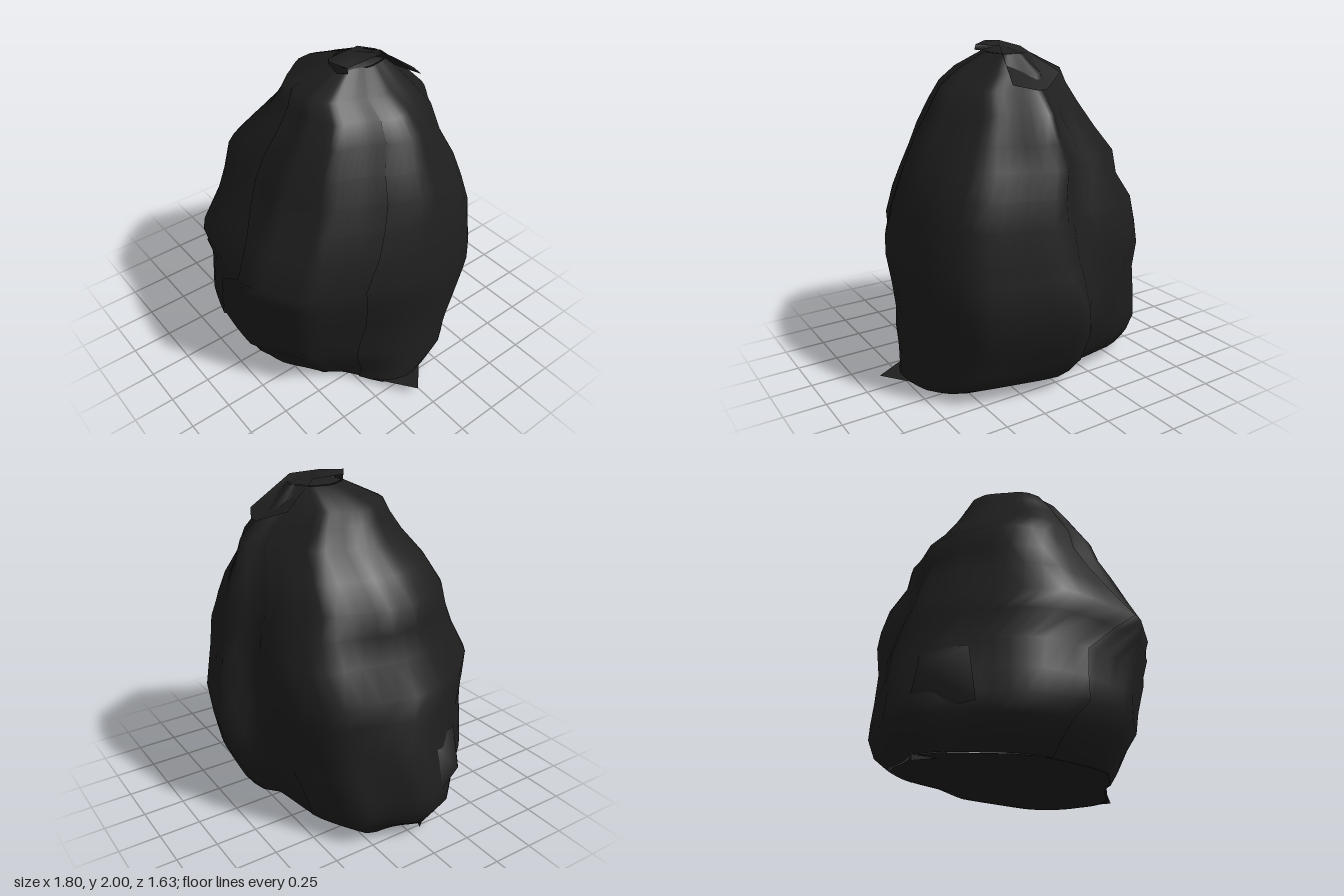
import * as THREE from 'three';

// Cross-sections: y, min x, max x, min z, max z, then the diagonal bulge
// of the four quadrants (+x+z, -x+z, -x-z, +x-z)
const RINGS = [
  [0.03, -0.76, 0.77, -0.45, 0.58, -0.18, 0.00, 0.16, 0.04],
  [0.10, -0.83, 0.78, -0.60, 0.64, -0.14, 0.00, 0.08, 0.02],
  [0.20, -0.90, 0.78, -0.67, 0.71, -0.10, -0.02, 0.02, 0.00],
  [0.30, -0.89, 0.78, -0.72, 0.77, -0.07, -0.03, 0.00, 0.00],
  [0.43, -0.87, 0.78, -0.78, 0.77, -0.04, -0.02, -0.03, 0.00],
  [0.60, -0.83, 0.80, -0.81, 0.77, 0.00, 0.00, -0.02, 0.00],
  [0.77, -0.79, 0.82, -0.78, 0.79, 0.00, 0.03, 0.09, 0.00],
  [0.88, -0.75, 0.81, -0.76, 0.81, 0.00, 0.05, 0.13, 0.00],
  [1.07, -0.66, 0.78, -0.73, 0.70, 0.00, 0.09, 0.16, 0.00],
  [1.22, -0.60, 0.74, -0.70, 0.62, -0.01, 0.14, 0.08, -0.03],
  [1.36, -0.59, 0.70, -0.67, 0.55, -0.02, 0.18, 0.04, -0.07],
  [1.50, -0.47, 0.63, -0.62, 0.50, -0.03, 0.15, 0.00, -0.13],
  [1.65, -0.36, 0.55, -0.57, 0.40, -0.02, 0.09, -0.08, -0.15],
  [1.76, -0.30, 0.48, -0.46, 0.33, -0.02, 0.06, -0.08, -0.14],
  [1.84, -0.26, 0.36, -0.38, 0.28, 0.00, 0.03, -0.04, -0.08],
  [1.94, -0.02, 0.21, -0.25, 0.07, 0.00, 0.00, 0.00, 0.00],
];

// Irregular plan outline, normalised to the ring extents
const OUTLINE = [
  [1, -0.1], [0.94, 0.18], [0.82, 0.42], [0.67, 0.79], [0.27, 1], [-0.15, 0.95], [-0.43, 0.87],
  [-0.58, 0.75], [-0.93, 0.27], [-1, 0], [-0.85, -0.31], [-0.79, -0.5], [-0.49, -0.7], [-0.12, -0.83],
  [0.02, -1], [0.21, -0.96], [0.7, -0.79], [0.79, -0.7], [0.91, -0.49],
];

// Seam positions: height, angle in degrees (0 = +x, 90 = front)
const FRONT_SEAM = [[0.03, 109], [0.3, 98], [0.6, 100], [0.64, 99], [0.88, 79], [1.07, 86], [1.15, 92], [1.36, 95], [1.93, 100]];
const SIDE_SEAM = [[0.03, 25], [0.8, 24], [1.1, 20], [1.4, 18], [1.93, 14]];
const BACK_SEAM = [[0.03, 234], [0.6, 238], [1.0, 250], [1.36, 247], [1.93, 255]];

function lerpTable(table, key) {
  for (let i = 1; i < table.length; i++) {
    const [k0, v0] = table[i - 1], [k1, v1] = table[i];
    if (key <= k1) return v0 + (v1 - v0) * Math.max(0, (key - k0) / (k1 - k0));
  }
  return table[table.length - 1][1];
}

// Distance from the centre to the outline in direction a
function outlineRadius(a) {
  const c = Math.cos(a), s = Math.sin(a);
  for (let i = 0; i < OUTLINE.length; i++) {
    const [px, py] = OUTLINE[i], [qx, qy] = OUTLINE[(i + 1) % OUTLINE.length];
    if (px * s - py * c >= -1e-9 && c * qy - s * qx >= -1e-9) {
      return (px * qy - py * qx) / (c * (qy - py) - s * (qx - px));
    }
  }
  return 1;
}

// Point on the slumped skin for one ring and angle
function skinPoint(ring, degrees, offset = 0) {
  const [y, x0, x1, z0, z1, ...bulges] = ring;
  const a = THREE.MathUtils.degToRad(degrees);
  const quadrant = Math.floor((((degrees % 360) + 360) % 360) / 90);
  const bulge = bulges[quadrant] * Math.sin(2 * a) ** 2;
  const gather = 0.015 * Math.sin(a * 7 + 1) * THREE.MathUtils.smoothstep(y, 1.2, 1.75);
  const r = outlineRadius(a) * (1 + gather + bulge);
  return [
    (x0 + x1) / 2 + ((x1 - x0) / 2 * r + offset) * Math.cos(a), y,
    (z0 + z1) / 2 + ((z1 - z0) / 2 * r + offset) * Math.sin(a),
  ];
}

function meshFrom(name, points, index, material) {
  const g = new THREE.BufferGeometry();
  g.setAttribute('position', new THREE.Float32BufferAttribute(points.flat(), 3));
  g.setIndex(index);
  g.computeVertexNormals();
  const mesh = new THREE.Mesh(g, material);
  mesh.name = name;
  return mesh;
}

// Skin panel lofted between two seams
function panel(name, from, to, offset, material) {
  const n = 22, pts = [], idx = [];
  RINGS.forEach((ring, j) => {
    const a0 = from(ring[0]), a1 = to(ring[0]);
    for (let i = 0; i <= n; i++) {
      pts.push(skinPoint(ring, a0 + (a1 - a0) * i / n, offset));
      if (j && i) {
        const d = j * (n + 1) + i, c = d - 1, b = d - n - 1, a = b - 1;
        idx.push(a, c, b, b, c, d);
      }
    }
  });
  return meshFrom(name, pts, idx, material);
}

// Cap joining one ring to a centre point
function cap(name, ring, centre, up, material) {
  const n = 40, pts = [centre], idx = [];
  for (let i = 0; i < n; i++) {
    pts.push(skinPoint(ring, i * 360 / n));
    const a = i + 1, b = (i + 1) % n + 1;
    idx.push(0, ...(up ? [b, a] : [a, b]));
  }
  return meshFrom(name, pts, idx, material);
}

// Loose flap made as a fan from its first point
function flap(name, pts, material) {
  const idx = [];
  for (let i = 1; i < pts.length - 1; i++) idx.push(0, i, i + 1);
  return meshFrom(name, pts, idx, material);
}

export function createModel() {
  const group = new THREE.Group();
  const black = new THREE.MeshStandardMaterial({ color: 0x1e1e1e, side: THREE.DoubleSide });
  black.name = 'charcoal black';

  const front = (y) => lerpTable(FRONT_SEAM, y);
  const side = (y) => lerpTable(SIDE_SEAM, y);
  const back = (y) => lerpTable(BACK_SEAM, y);

  // Three overlapping skin panels
  group.add(
    panel('frontPanel', (y) => side(y) - 3, (y) => front(y) + 3, 0, black),
    panel('rightPanel', front, (y) => back(y) + 3, 0.012, black),
    panel('backPanel', back, (y) => side(y) + 360, 0.008, black),
  );

  // Closed underside and crown
  group.add(
    cap('underside', RINGS[0], [0, 0.03, 0.05], false, black),
    cap('crown', RINGS[RINGS.length - 1], [0.12, 1.98, -0.08], true, black),
  );

  // Folded flap over the crown, falling to the back
  group.add(flap('crownFlap', [
    [0.12, 2.0, -0.06], [0.05, 1.97, 0.07], [0.11, 1.985, 0.11], [0.2, 1.97, 0.06], [0.2, 1.98, -0.2],
    [0.26, 1.8, -0.43], [0.14, 1.77, -0.49], [0.08, 1.77, -0.49], [-0.08, 1.84, -0.38], [0.03, 1.97, -0.15],
    [0.05, 1.97, 0.07],
  ], black));
  group.add(flap('crownFold', [
    [0.05, 1.97, 0.07], [0.04, 1.92, 0.06], [0.15, 1.93, 0.09], [0.21, 1.94, 0.06], [0.2, 1.97, 0.06], [0.11, 1.985, 0.11],
  ], black));

  // Loose corners around the foot
  group.add(
    flap('leftFootFlap', [[0.74, 0.04, -0.12], [0.66, 0.04, 0.2], [0.9, 0.06, 0.04]], black),
    flap('rightFootFlap', [[-0.8, 0.15, 0.1], [-0.77, 0.0, 0.08], [-0.55, 0.05, 0.15]], black),
    flap('rightSideCorner', [
      [-0.89, 0.43, 0.24], [-0.84, 0.2, 0.1], [-0.68, 0.25, 0.44], [-0.68, 0.56, 0.38], [-0.79, 0.57, 0.12], [-0.84, 0.2, 0.1],
    ], black),
  );
  return group;
}
